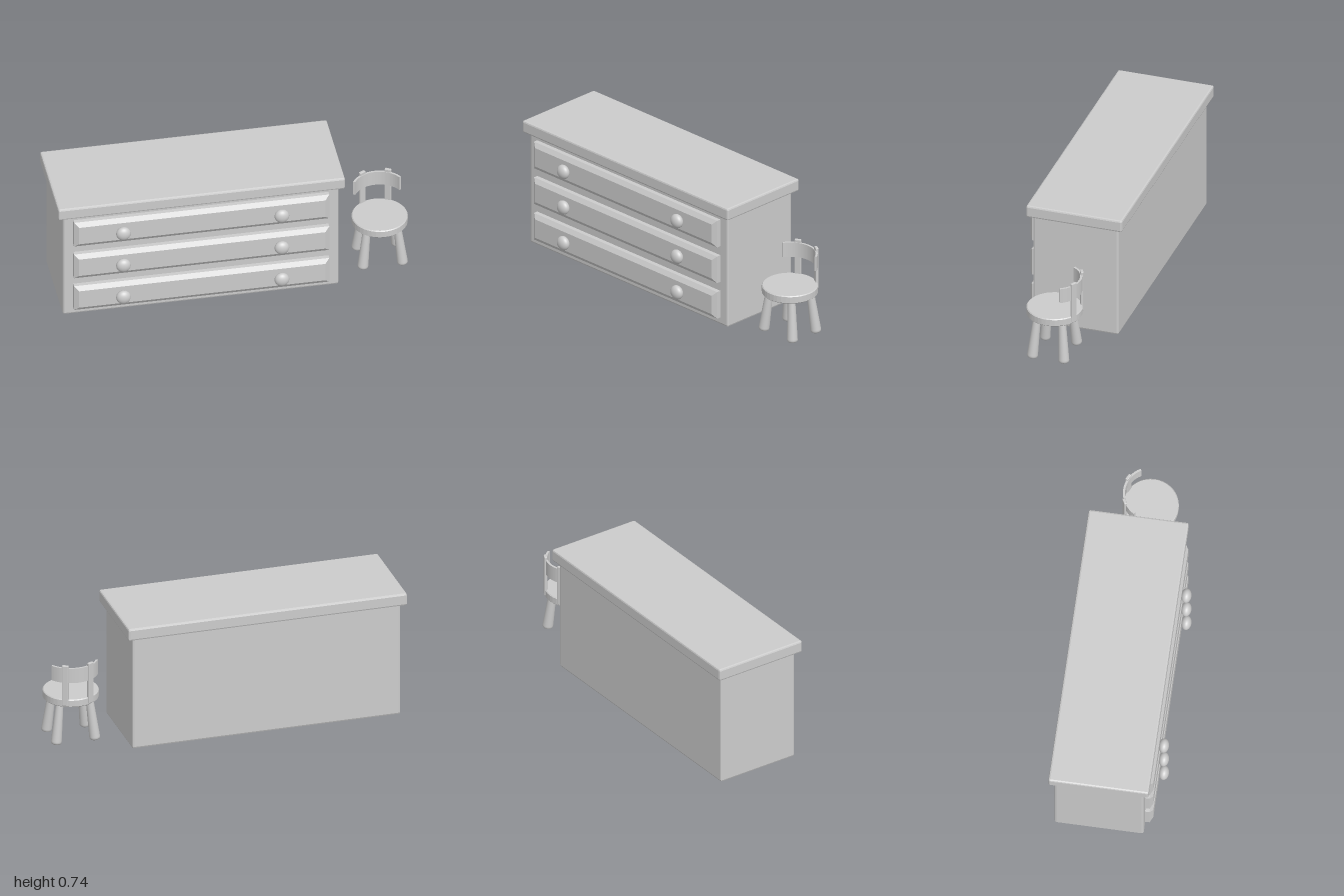
import * as THREE from 'three';
import { RoundedBoxGeometry } from 'three/addons/geometries/RoundedBoxGeometry.js';

const flat = new THREE.MeshStandardMaterial({ color: 0xcccccc, flatShading: true });
const smooth = new THREE.MeshStandardMaterial({ color: 0xcccccc });

function add(parent, name, geometry, material, x = 0, y = 0, z = 0) {
  const mesh = new THREE.Mesh(geometry, material);
  mesh.name = name;
  mesh.position.set(x, y, z);
  parent.add(mesh);
  return mesh;
}

// Chamfered box given by its extents on each axis
function box(parent, name, [x0, x1], [y0, y1], [z0, z1], bevel) {
  const geometry = new RoundedBoxGeometry(x1 - x0, y1 - y0, z1 - z0, 1, bevel);
  return add(parent, name, geometry, flat, (x0 + x1) / 2, (y0 + y1) / 2, (z0 + z1) / 2);
}

function lathe(points, segments) {
  return new THREE.LatheGeometry(points.map(([r, y]) => new THREE.Vector2(r, y)), segments);
}

function createDresser() {
  const dresser = new THREE.Group();
  dresser.name = 'dresser';
  box(dresser, 'cabinet', [-0.97, 0.573], [0.005, 0.68], [-0.28, 0.215], 0.011);
  box(dresser, 'worktop', [-1, 0.604], [0.673, 0.745], [-0.31, 0.246], 0.01);

  // Drawer fronts: rectangles with a wide chamfer around the face
  const w = 1.428, h = 0.162, inset = 0.025;
  const a = w / 2 - inset, b = h / 2 - inset;
  const outline = new THREE.Shape([[-a, -b], [a, -b], [a, b], [-a, b]].map(p => new THREE.Vector2(...p)));
  const front = new THREE.ExtrudeGeometry(outline, {
    depth: 0.04, bevelEnabled: true, bevelSize: inset, bevelThickness: 0.018, bevelSegments: 1,
  });
  const knob = new THREE.SphereGeometry(0.041, 28, 20).rotateX(Math.PI / 2).scale(1, 0.8, 1);
  knob.scale(1, 1 / 0.8, 0.69);

  for (const y of [0.129, 0.346, 0.563]) {
    add(dresser, 'drawerFront', front, flat, -0.198, y, 0.2);
    for (const x of [-0.643, 0.243]) add(dresser, 'drawerKnob', knob, smooth, x, y + 0.002, 0.282);
  }
  return dresser;
}

function createChair() {
  const chair = new THREE.Group();
  chair.name = 'chair';
  chair.position.x = 0.842;

  // Round seat with softened rims
  add(chair, 'seat', lathe([
    [0, 0.241], [0.15, 0.241], [0.155, 0.246], [0.155, 0.282], [0.15, 0.287], [0, 0.287],
  ], 40), flat);

  // Splayed legs, thicker and rounded at the foot
  for (const sx of [-1, 1]) for (const sz of [-1, 1]) {
    const foot = new THREE.Vector3(sx * 0.112, 0.004, sz * 0.092);
    const head = new THREE.Vector3(sx * 0.085, 0.25, sz * 0.072);
    const axis = head.clone().sub(foot);
    const leg = add(chair, 'leg', lathe([
      [0, 0], [0.02, 0.001], [0.026, 0.005], [0.03, 0.012], [0.03, 0.02], [0.021, axis.length()],
    ], 20), smooth);
    leg.position.copy(foot);
    leg.quaternion.setFromUnitVectors(new THREE.Vector3(0, 1, 0), axis.normalize());
  }

  // Back posts, turned to follow the seat edge
  for (const s of [-1, 1]) {
    const post = add(chair, 'backPost', new RoundedBoxGeometry(0.037, 0.243, 0.017, 1, 0.004),
      flat, s * 0.072, 0.3715, -0.134);
    post.rotation.y = -s * 0.49;
  }

  // Curved backrest: ring sector extruded upward
  const half = THREE.MathUtils.degToRad(61);
  const sector = new THREE.Shape();
  sector.absarc(0, 0, 0.153, Math.PI / 2 - half, Math.PI / 2 + half, false);
  sector.absarc(0, 0, 0.141, Math.PI / 2 + half, Math.PI / 2 - half, true);
  sector.closePath();
  const rest = new THREE.ExtrudeGeometry(sector, { depth: 0.087, bevelEnabled: false, curveSegments: 16 });
  rest.rotateX(-Math.PI / 2);
  add(chair, 'backrest', rest, flat, 0, 0.388, 0);
  return chair;
}

export function createModel() {
  const model = new THREE.Group();
  model.name = 'dresserAndChair';
  model.add(createDresser(), createChair());
  return model;
}
